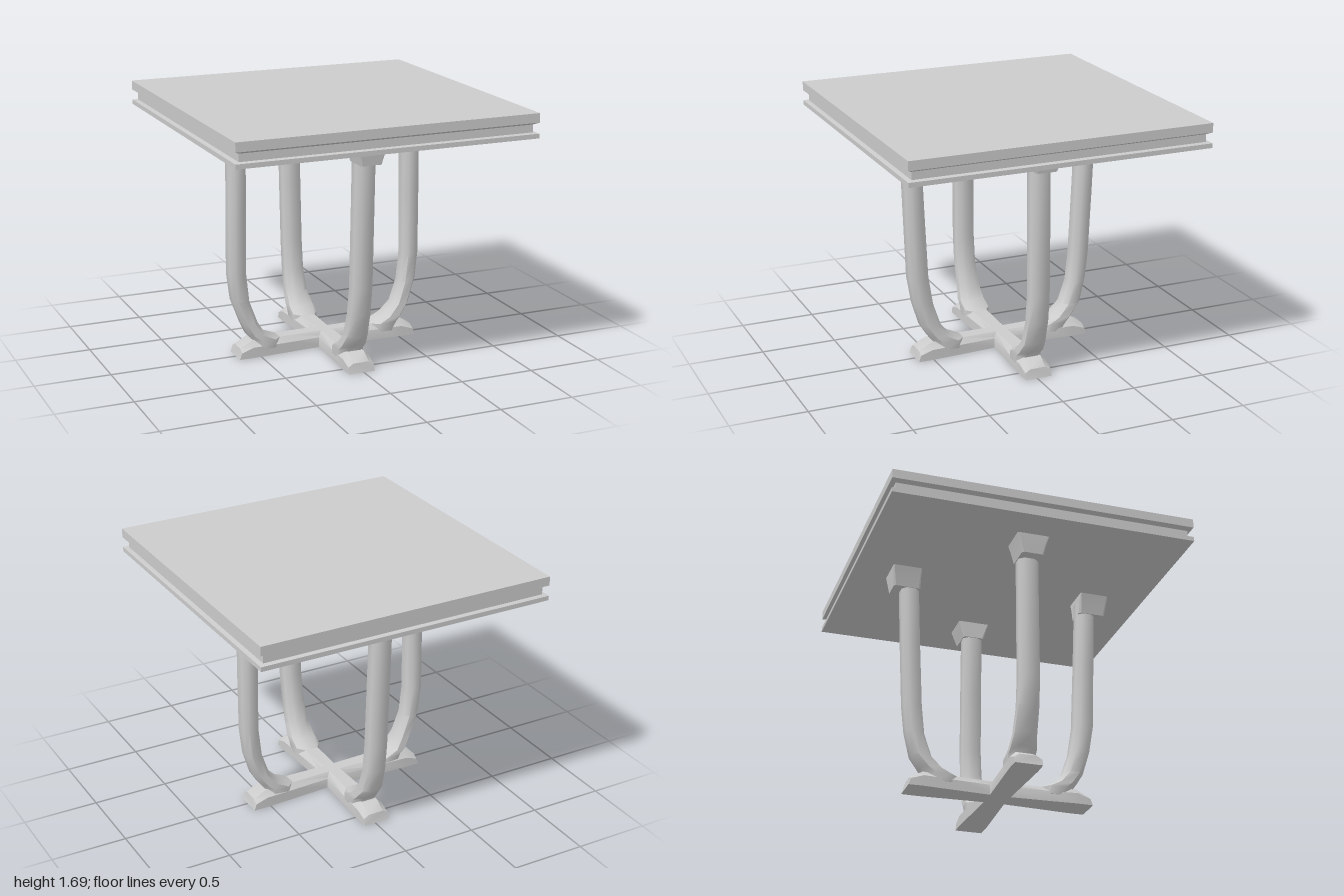
import * as THREE from 'three';
import { toCreasedNormals } from 'three/addons/utils/BufferGeometryUtils.js';

const material = new THREE.MeshStandardMaterial({ color: 0xcccccc });

// Skin a list of equal-length rings of [x, y, z] points, closed by a cap at both ends
function loft(rings, crease) {
  const n = rings[0].length;
  const points = rings.flat();
  const index = [];
  for (let i = 0; i < rings.length - 1; i++) {
    for (let j = 0; j < n; j++) {
      const k = (j + 1) % n;
      const a = i * n + j, b = i * n + k, c = b + n, d = a + n;
      index.push(a, b, c, a, c, d);
    }
  }
  const last = (rings.length - 1) * n;
  for (let j = 1; j < n - 1; j++) {
    index.push(0, j + 1, j, last, last + j, last + j + 1);
  }
  const geometry = new THREE.BufferGeometry();
  geometry.setAttribute('position', new THREE.Float32BufferAttribute(points.flat(), 3));
  geometry.setIndex(index);
  return toCreasedNormals(geometry, crease);
}

function part(name, geometry) {
  const mesh = new THREE.Mesh(geometry, material);
  mesh.name = name;
  return mesh;
}

// Section with chamfered corners, between an inner and an outer [radius, height]
function section(inner, outer, half, chamfer) {
  const c = 1 - chamfer;
  return [[1, c], [c, 1], [-c, 1], [-1, c], [-1, -c], [-c, -1], [c, -1], [1, -c]].map(([u, w]) => {
    const t = (u + 1) / 2;
    return [
      inner[0] + (outer[0] - inner[0]) * t,
      inner[1] + (outer[1] - inner[1]) * t,
      -w * half,
    ];
  });
}

// Each leg runs from its foot upwards: inner and outer edge and half width
function makeLeg(inner, outer) {
  const half = [0.085, 0.088, 0.085, 0.073, 0.068, 0.067, 0.067, 0.067];
  return loft(inner.map((p, i) => section(p, outer[i], half[i], 0.5)), 0.9);
}

function makeCapital(inner, outer, bottom) {
  return loft([
    section([inner, bottom], [outer - 0.015, bottom], 0.072, 0.15),
    section([inner, 1.48], [outer - 0.005, 1.48], 0.092, 0.1),
    section([inner, 1.535], [outer, 1.535], 0.108, 0.05),
  ], 0.6);
}

// Crossing foot bar from -start to +end, with sloping toes
function makeFoot(start, end) {
  const stations = [
    [-start, -start + 0.015, 0.065, 0.09],
    [-start + 0.1, -start + 0.1, 0.11, 0.092],
    [-0.3, -0.3, 0.105, 0.08],
    [0, 0, 0.105, 0.065],
    [0.3, 0.3, 0.105, 0.08],
    [end - 0.1, end - 0.1, 0.11, 0.092],
    [end, end - 0.015, 0.065, 0.09],
  ];
  return loft(stations.map(([bottom, top, h, w]) => [
    [bottom, 0, -w],
    [top, h * 0.65, -w],
    [top, h, -w * 0.6],
    [top, h, w * 0.6],
    [top, h * 0.65, w],
    [bottom, 0, w],
  ]), 0.7);
}

export function createModel() {
  const table = new THREE.Group();
  table.name = 'pedestalTable';

  // Square top with a groove round its edge
  const profile = [[1, 1.53], [1, 1.56], [0.97, 1.565], [0.97, 1.615], [1, 1.63], [1, 1.69]];
  const corners = [[1, 1], [1, -1], [-1, -1], [-1, 1]];
  table.add(part('tableTop', loft(
    profile.map(([r, y]) => corners.map(([x, z]) => [x * r, y, z * r])), 0.5)));

  // Four curved legs: direction, edges at fixed heights, capital
  const heights = [0.05, 0.105, 0.145, 0.225, 0.375, 0.57, 1.0, 1.5];
  const outerHeights = [0.05, 0.11, 0.145, 0.225, 0.39, 0.57, 1.0, 1.5];
  const legs = [
    { name: 'leftLeg', turn: 0,
      inner: [0.31, 0.31, 0.4, 0.48, 0.53, 0.55, 0.545, 0.54],
      outer: [0.5, 0.515, 0.54, 0.59, 0.64, 0.66, 0.66, 0.655],
      capital: [0.535, 0.74, 1.415] },
    { name: 'rightLeg', turn: Math.PI,
      inner: [0.35, 0.35, 0.455, 0.505, 0.56, 0.58, 0.575, 0.57],
      outer: [0.53, 0.545, 0.572, 0.61, 0.672, 0.695, 0.69, 0.685],
      capital: [0.565, 0.77, 1.4] },
    { name: 'frontLeg', turn: -Math.PI / 2,
      inner: [0.27, 0.27, 0.36, 0.43, 0.48, 0.51, 0.53, 0.55],
      outer: [0.46, 0.485, 0.51, 0.56, 0.61, 0.64, 0.655, 0.672],
      capital: [0.55, 0.745, 1.395] },
    { name: 'backLeg', turn: Math.PI / 2,
      inner: [0.29, 0.29, 0.38, 0.46, 0.51, 0.53, 0.55, 0.57],
      outer: [0.48, 0.505, 0.53, 0.59, 0.63, 0.65, 0.67, 0.69],
      capital: [0.565, 0.76, 1.395] },
  ];
  for (const { name, turn, inner, outer, capital } of legs) {
    const leg = new THREE.Group();
    leg.name = name;
    leg.add(part('legPost', makeLeg(
      inner.map((r, i) => [r, heights[i]]), outer.map((r, i) => [r, outerHeights[i]]))));
    leg.add(part('capital', makeCapital(...capital)));
    leg.rotation.y = turn;
    const alongX = Math.abs(Math.cos(turn)) > 0.5;
    leg.position.set(alongX ? 0 : -0.013, 0, alongX ? -0.009 : 0);
    table.add(leg);
  }

  // Crossed feet
  const sideFoot = part('sideToSideFoot', makeFoot(0.65, 0.62));
  sideFoot.position.z = -0.012;
  const deepFoot = part('frontToBackFoot', makeFoot(0.62, 0.605));
  deepFoot.rotation.y = -Math.PI / 2;
  deepFoot.position.x = -0.013;
  table.add(sideFoot, deepFoot);

  return table;
}
